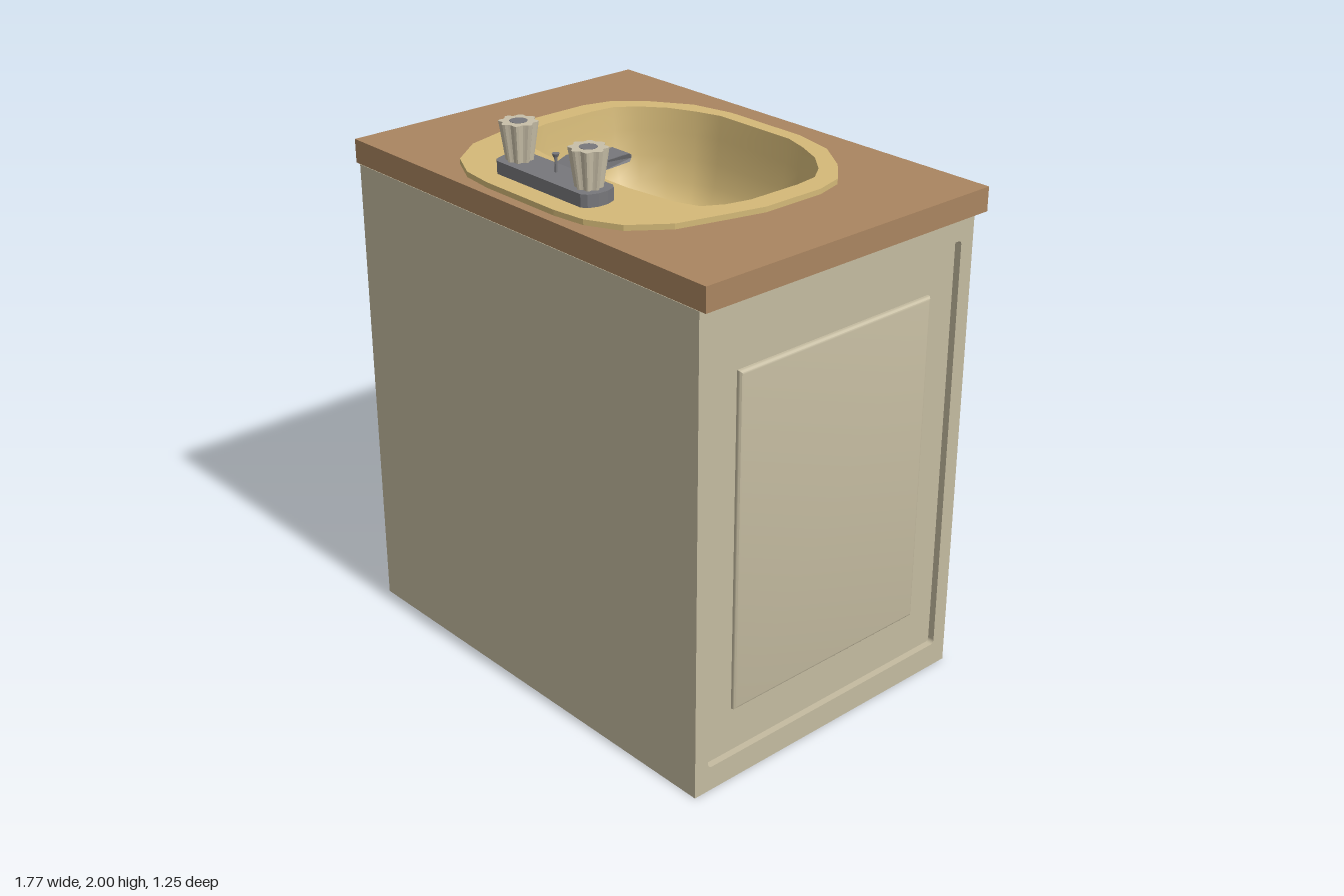
import * as THREE from 'three';
import { mergeVertices, toCreasedNormals } from 'three/addons/utils/BufferGeometryUtils.js';

const mat = (color, extra = {}) => new THREE.MeshStandardMaterial({ color, ...extra });
const paint = mat(0xc4bba0);
const wood = mat(0xaa8560);
const ceramic = mat(0xd4b978, { side: THREE.DoubleSide });
const knobWood = mat(0xb98d5c);
const metal = mat(0x77777b, { flatShading: true });
const handleMat = mat(0xc8bfa8, { flatShading: true });

function add(parent, name, geometry, material, x = 0, y = 0, z = 0) {
  const mesh = new THREE.Mesh(geometry, material);
  mesh.name = name;
  mesh.position.set(x, y, z);
  parent.add(mesh);
  return mesh;
}

// Rectangle outline centred on (cx, cy), with optional rounded corners
function rect(w, h, r = 0, cx = 0, cy = 0, Type = THREE.Shape) {
  const s = new Type(), a = w / 2, b = h / 2;
  if (!r) return s.setFromPoints([[-a, -b], [a, -b], [a, b], [-a, b], [-a, -b]].map(([x, y]) => new THREE.Vector2(cx + x, cy + y)));
  s.moveTo(cx - a + r, cy - b);
  s.lineTo(cx + a - r, cy - b).absarc(cx + a - r, cy - b + r, r, -Math.PI / 2, 0);
  s.lineTo(cx + a, cy + b - r).absarc(cx + a - r, cy + b - r, r, 0, Math.PI / 2);
  s.lineTo(cx - a + r, cy + b).absarc(cx - a + r, cy + b - r, r, Math.PI / 2, Math.PI);
  s.lineTo(cx - a, cy - b + r).absarc(cx - a + r, cy - b + r, r, Math.PI, Math.PI * 1.5);
  return s;
}

const extrude = (shape, depth) => new THREE.ExtrudeGeometry(shape, { depth, bevelEnabled: false, curveSegments: 4 });

// Flat slab lying in the xz plane, its top at height `top`
const slab = (shape, top, thick) => extrude(shape, thick).rotateX(Math.PI / 2).translate(0, top, 0);

// Raised panel with softly rounded edges, its back at z = 0
function raised(w, h, d, b = 0.012) {
  const g = new THREE.ExtrudeGeometry(rect(w - 2 * b, h - 2 * b), {
    depth: Math.max(d - b, 0.001), bevelThickness: b, bevelSize: b, bevelSegments: 3,
  });
  return toCreasedNormals(g, 0.7);
}

// Frame with a rounded recess, front surface at z = 0
function framedFace(name, w, openW, depth) {
  const g = new THREE.Group();
  g.name = name;
  const shape = rect(w, 1.72, 0, 0, 0.86);
  shape.holes.push(rect(openW, 1.545, 0.015, 0, 0.8625, THREE.Path));
  add(g, 'frame', extrude(shape, depth), paint, 0, 0, -depth);
  add(g, 'backing', new THREE.BoxGeometry(w, 1.72, 0.02), paint, 0, 0.86, -depth - 0.01);
  return g;
}

// Closed outline mirrored from its +x half
function outline(half, scale = 1, cx = -0.017, cz = 0) {
  const pts = [...half, ...half.slice().reverse().map(([x, z]) => [-x, z])];
  return pts.map(([x, z]) => new THREE.Vector2(cx + x * scale, cz + (z - cz) * scale));
}

const rimHalf = [[0.17, -0.5], [0.33, -0.465], [0.465, -0.375], [0.56, -0.275], [0.59, -0.165], [0.59, 0.08],
  [0.56, 0.2], [0.51, 0.39], [0.415, 0.515], [0.295, 0.575], [0.17, 0.59]];
const bowlHalf = [[0.17, -0.445], [0.265, -0.415], [0.365, -0.37], [0.45, -0.3], [0.5, -0.23], [0.512, -0.14],
  [0.512, 0.07], [0.49, 0.16], [0.45, 0.23], [0.365, 0.262], [0.17, 0.287]];

// Bowl lofted through shrinking rings
function bowlGeometry() {
  const rings = [[1, 1.824], [0.98, 1.74], [0.95, 1.65], [0.9, 1.57], [0.82, 1.51], [0.7, 1.475], [0.45, 1.455], [0.08, 1.45]];
  const n = bowlHalf.length * 2, pos = [], idx = [];
  rings.forEach(([s, y], k) => {
    outline(bowlHalf, s, -0.017, -0.035).forEach((p, i) => {
      pos.push(p.x, y, p.y);
      if (k === rings.length - 1) return;
      const a = k * n + i, b = k * n + (i + 1) % n;
      idx.push(a, a + n, b, b, a + n, b + n);
    });
  });
  const g = new THREE.BufferGeometry();
  g.setAttribute('position', new THREE.Float32BufferAttribute(pos, 3));
  g.setIndex(idx);
  g.computeVertexNormals();
  return mergeVertices(g);
}

// Fluted tap handle, wider at the top
function flutedGeometry() {
  const g = new THREE.CylinderGeometry(0.066, 0.046, 0.132, 48, 1);
  const p = g.attributes.position;
  for (let i = 0; i < p.count; i++) {
    const k = 0.9 + 0.1 * Math.cos(8 * Math.atan2(p.getZ(i), p.getX(i)));
    p.setXYZ(i, p.getX(i) * k, p.getY(i), p.getZ(i) * k);
  }
  return g;
}

// Spout: side profile swept across, narrowing toward the tip
function spoutGeometry() {
  const profile = [[0.385, 1.83], [0.385, 1.865], [0.34, 1.886], [0.2, 1.882], [0.165, 1.878], [0.15, 1.868],
    [0.15, 1.858], [0.165, 1.85], [0.3, 1.853], [0.35, 1.83]].map(([z, y]) => new THREE.Vector2(z, y));
  const g = extrude(new THREE.Shape(profile), 1).rotateY(-Math.PI / 2).translate(0.5, 0, 0);
  const p = g.attributes.position;
  for (let i = 0; i < p.count; i++) {
    const z = p.getZ(i);
    const width = z < 0.165 ? 0.066 : 0.086 + (z - 0.165) * 0.29;
    p.setX(i, p.getX(i) * width);
  }
  g.computeVertexNormals();
  return g;
}

export function createModel() {
  const model = new THREE.Group();
  model.name = 'sinkCabinet';

  // Cabinet carcass
  add(model, 'cabinetBottom', new THREE.BoxGeometry(1.64, 0.04, 1.2), paint, 0, 0.021, 0.02);
  add(model, 'plainWall', new THREE.BoxGeometry(1.64, 1.72, 0.03), paint, 0, 0.86, 0.615);
  for (const s of [1, -1]) {
    const side = framedFace(s > 0 ? 'leftSide' : 'rightSide', 1.22, 1.105, 0.025);
    add(side, 'sidePanel', raised(0.86, 1.215, 0.018), paint, 0, 0.8625, -0.025);
    side.position.set(0.86 * s, 0, 0.02);
    side.rotation.y = s * Math.PI / 2;
    model.add(side);
  }

  // Face with drawer and doors, turned toward -z
  const face = framedFace('doorFace', 1.63, 1.56, 0.06);
  face.position.z = -0.59;
  face.rotation.y = Math.PI;
  model.add(face);
  add(face, 'drawerFront', raised(1.48, 0.44, 0.022, 0.006), paint, 0, 1.35, -0.06);
  add(face, 'drawerPanel', raised(1.2, 0.31, 0.014), paint, 0, 1.35, -0.04);

  const handle = new THREE.Group();
  handle.name = 'drawerHandle';
  handle.position.set(0, 1.33, 0.002);
  face.add(handle);
  const barProfile = [[0.012, -0.12], [0.014, -0.08], [0.019, -0.05], [0.014, -0.03], [0.017, 0], [0.014, 0.03],
    [0.019, 0.05], [0.014, 0.08], [0.012, 0.12]].map(([r, y]) => new THREE.Vector2(r, y));
  add(handle, 'handleBar', new THREE.LatheGeometry(barProfile, 14).rotateZ(Math.PI / 2), knobWood);

  const knob = (parent, name, x, y, z) => {
    add(parent, name, new THREE.SphereGeometry(0.033, 18, 12), knobWood, x, y, z);
    add(parent, name + 'Stem', new THREE.CylinderGeometry(0.014, 0.018, 0.05, 12).rotateX(Math.PI / 2), knobWood, x, y, z - 0.03);
  };
  for (const s of [-1, 1]) {
    knob(handle, 'handleEnd', 0.122 * s, 0, 0);
    add(face, 'door', raised(0.736, 0.9, 0.022, 0.006), paint, 0.372 * s, 0.61, -0.06);
    add(face, 'doorPanel', raised(0.49, 0.75, 0.014), paint, 0.37 * s, 0.61, -0.04);
    knob(face, 'doorKnob', 0.062 * s, 0.925, -0.007);
  }

  // Countertop with an opening for the bowl
  const top = rect(1.77, 1.25, 0, 0, 0.003);
  top.holes.push(new THREE.Path(outline(bowlHalf, 1.02, -0.017, -0.08)));
  add(model, 'countertop', slab(top, 1.805, 0.085), wood);

  // Sink
  const rim = new THREE.Shape(outline(rimHalf));
  rim.holes.push(new THREE.Path(outline(bowlHalf)));
  add(model, 'sinkRim', slab(rim, 1.824, 0.02), ceramic);
  add(model, 'sinkBowl', bowlGeometry(), ceramic);
  add(model, 'drainRing', new THREE.TorusGeometry(0.047, 0.008, 8, 24).rotateX(Math.PI / 2), metal, -0.017, 1.456, -0.035);
  add(model, 'drainPlug', new THREE.CylinderGeometry(0.045, 0.045, 0.014, 24), metal, -0.017, 1.455, -0.035);

  // Faucet
  const faucet = new THREE.Group();
  faucet.name = 'faucet';
  faucet.position.x = -0.017;
  model.add(faucet);
  const baseHalf = [[0.21, 0.382], [0.23, 0.395], [0.243, 0.43], [0.243, 0.467], [0.23, 0.502], [0.21, 0.515]];
  add(faucet, 'faucetBase', slab(new THREE.Shape(outline(baseHalf, 1, 0)), 1.868, 0.046), metal);
  add(faucet, 'spout', spoutGeometry(), metal);
  add(faucet, 'nozzle', new THREE.CylinderGeometry(0.022, 0.022, 0.014, 14), metal, 0, 1.845, 0.19);
  add(faucet, 'liftRod', new THREE.CylinderGeometry(0.005, 0.005, 0.06, 8), metal, 0, 1.895, 0.44);
  add(faucet, 'liftRodHead', new THREE.CylinderGeometry(0.013, 0.008, 0.012, 10), metal, 0, 1.925, 0.44);
  for (const s of [-1, 1]) {
    add(faucet, 'tapHandle', flutedGeometry(), handleMat, 0.175 * s, 1.933, 0.45);
    add(faucet, 'tapCap', new THREE.CylinderGeometry(0.03, 0.03, 0.01, 16), metal, 0.175 * s, 1.995, 0.45);
    add(faucet, 'tapCollar', new THREE.CylinderGeometry(0.036, 0.036, 0.012, 16), metal, 0.175 * s, 1.868, 0.45);
  }
  return model;
}
